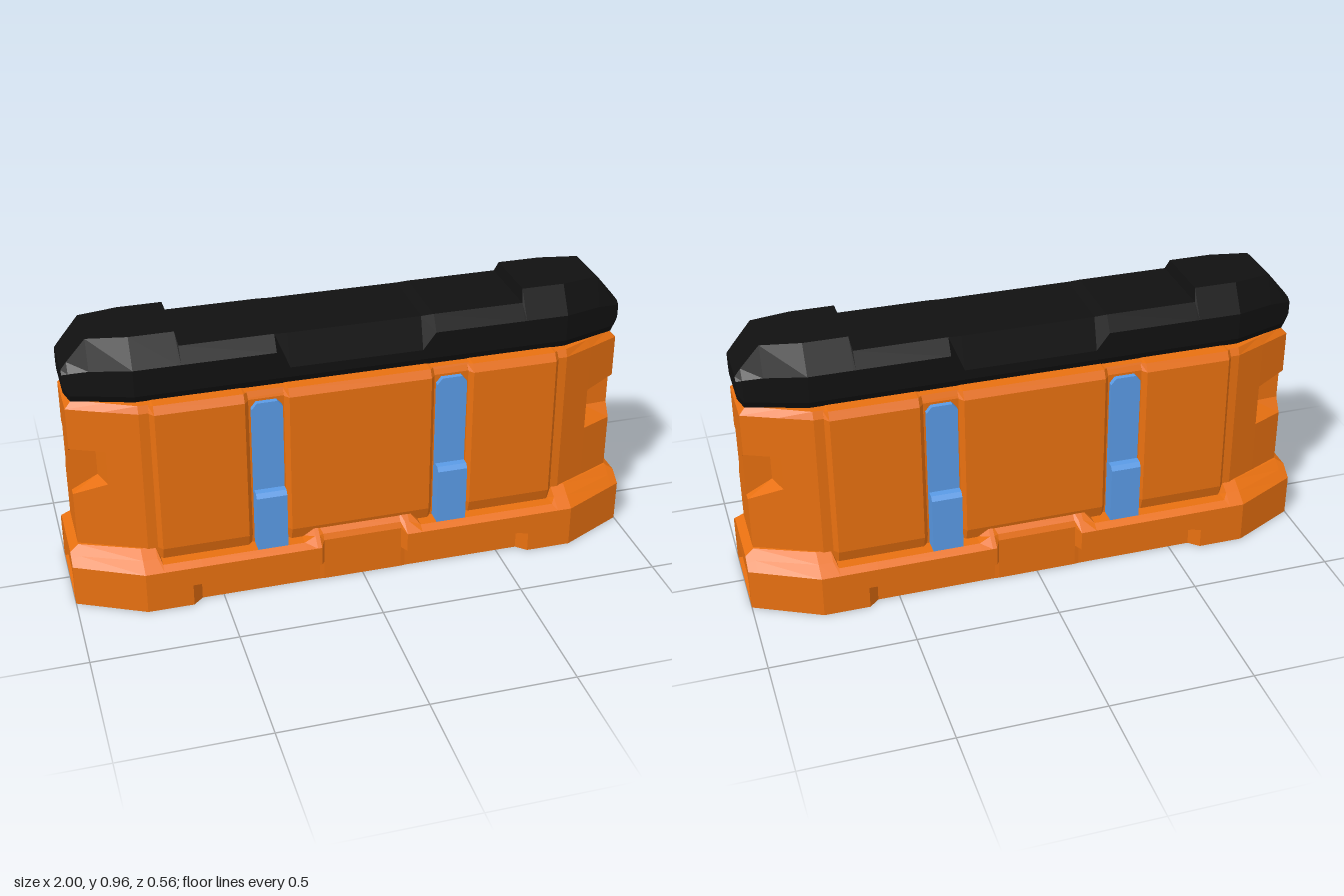
import * as THREE from 'three';

const material = (color) => new THREE.MeshStandardMaterial({ color, flatShading: true });

// Skin closed rings of [x, y, z] points and cap both ends with fans.
function loft(name, rings, mat) {
  const pos = [];
  const tri = (...pts) => pts.forEach((p) => pos.push(...p));
  const n = rings[0].length;
  const centre = (r) => [0, 1, 2].map((k) => r.reduce((s, p) => s + p[k], 0) / n);
  const first = rings[0], last = rings[rings.length - 1];
  const c0 = centre(first), c1 = centre(last);
  for (let j = 0; j < n; j++) {
    const k = (j + 1) % n;
    for (let i = 0; i < rings.length - 1; i++) {
      const a = rings[i][j], b = rings[i][k], c = rings[i + 1][j], d = rings[i + 1][k];
      tri(a, c, b);
      tri(b, c, d);
    }
    tri(c0, first[j], first[k]);
    tri(c1, last[k], last[j]);
  }
  const g = new THREE.BufferGeometry();
  g.setAttribute('position', new THREE.Float32BufferAttribute(pos, 3));
  g.computeVertexNormals();
  const mesh = new THREE.Mesh(g, mat);
  mesh.name = name;
  return mesh;
}

// Ring across x from a half profile of [z, y] points, mirrored in z.
const ringX = (x, half) => [
  ...half.map(([z, y]) => [x, y, z]),
  ...[...half].reverse().map(([z, y]) => [x, y, -z]),
];

// Stations listed from the +x end to the middle, mirrored to the -x end.
const mirroredRings = (stations) => [
  ...stations.map(([x, half]) => ringX(-x, half)),
  ...[...stations].reverse().map(([x, half]) => ringX(x, half)),
];

function makeBase(mat) {
  const section = (foot, side, inner, top) =>
    [[foot, 0], [foot, 0.07], [side, 0.08], [side, 0.15], inner, top];
  const high = [[0.235, 0.18], [0.195, 0.205]];
  const ledge = [[0.255, 0.166], [0.21, 0.166]];
  const endPocket = [[0.14, 0], [0.14, 0.05], [0.14, 0.09], [0.132, 0.105], [0.12, 0.115], [0.08, 0.115]];
  const endFace = section(0.165, 0.165, [0.142, 0.168], [0.12, 0.185]);
  const middle = [[0.25, 0], [0.25, 0.07], [0.25, 0.08], [0.25, 0.16], [0.24, 0.18], [0.21, 0.21]];
  return loft('base', mirroredRings([
    [0.975, endPocket],
    [1, endPocket],
    [1, endFace],
    [0.97, section(0.18, 0.18, [0.145, 0.178], [0.11, 0.205])],
    [0.77, section(0.28, 0.28, ...high)],
    [0.72, section(0.28, 0.28, ...high)],
    [0.705, section(0.28, 0.28, ...ledge)],
    [0.61, section(0.28, 0.28, ...ledge)],
    [0.575, section(0.248, 0.28, ...ledge)],
    [0.21, section(0.248, 0.28, ...ledge)],
    [0.17, section(0.248, 0.28, [0.245, 0.18], [0.21, 0.21])],
    [0.155, section(0.248, 0.28, [0.245, 0.18], [0.21, 0.21])],
    [0.14, middle],
  ]), mat);
}

// Core with tapered ends; the corner point is pulled inward for the hand pockets.
function makeBody(mat) {
  const ring = (y, pocket = false, inset = 0) => {
    const quarter = [
      [0.97 - inset, 0.07],
      pocket ? [0.88, 0.075] : [0.97 - inset, 0.1 - inset / 2],
      [0.855 - inset / 2, 0.152 - inset / 2],
      [0.745, 0.2 - inset / 2],
    ];
    const back = [...quarter].reverse();
    return [
      ...quarter.map(([x, z]) => [x, y, z]),
      ...back.map(([x, z]) => [-x, y, z]),
      ...quarter.map(([x, z]) => [-x, y, -z]),
      ...back.map(([x, z]) => [x, y, -z]),
    ];
  };
  return loft('body', [
    ring(0.1), ring(0.4), ring(0.45, true), ring(0.555, true),
    ring(0.575), ring(0.725), ring(0.75, false, 0.025),
  ], mat);
}

// Raised wall panel reaching through to both faces, with bevelled ends.
function makePanel(name, x0, x1, mat) {
  const half = (d) => [
    [0.2 - d, 0.16], [0.215 - d, 0.166], [0.228 - d, 0.21],
    [0.222 - d, 0.725], [0.205 - d, 0.752 - d / 4],
  ];
  return loft(name, [
    ringX(x0, half(0.018)), ringX(x0 + 0.015, half(0)),
    ringX(x1 - 0.015, half(0)), ringX(x1, half(0.018)),
  ], mat);
}

function makeLid(mat) {
  const half = (side, bottom, shoulder, topZ, topY) =>
    [[side - 0.012, bottom], [side, bottom + 0.025], [side, shoulder], [topZ, topY]];
  return loft('lid', mirroredRings([
    [0.97, half(0.1, 0.78, 0.85, 0.085, 0.862)],
    [0.95, half(0.108, 0.75, 0.855, 0.085, 0.888)],
    [0.885, half(0.128, 0.75, 0.865, 0.09, 0.965)],
    [0.75, half(0.172, 0.75, 0.87, 0.115, 0.965)],
    [0.6, half(0.172, 0.75, 0.87, 0.115, 0.965)],
    [0.592, half(0.172, 0.75, 0.87, 0.139, 0.924)],
    [0.275, half(0.172, 0.75, 0.87, 0.139, 0.924)],
    [0.23, half(0.172, 0.75, 0.81, 0.139, 0.922)],
  ]), mat);
}

// Clasp: a flat strap with clipped top corners and a thick lower block.
function makeClasp(mat) {
  const clasp = new THREE.Group();
  clasp.name = 'clasp';
  const outline = new THREE.Shape([
    [-0.053, 0.16], [0.053, 0.16], [0.053, 0.695], [0.035, 0.717], [-0.035, 0.717], [-0.053, 0.695],
  ].map(([x, y]) => new THREE.Vector2(x, y)));
  const strap = new THREE.Mesh(
    new THREE.ExtrudeGeometry(outline, { depth: 0.05, bevelEnabled: false }), mat);
  strap.name = 'strap';
  strap.position.z = 0.168;
  const side = new THREE.Shape([
    [0.2, 0.16], [0.255, 0.16], [0.255, 0.37], [0.243, 0.385], [0.2, 0.385],
  ].map(([z, y]) => new THREE.Vector2(-z, y)));
  const block = new THREE.Mesh(
    new THREE.ExtrudeGeometry(side, { depth: 0.106, bevelEnabled: false }), mat);
  block.name = 'latchBlock';
  block.rotation.y = Math.PI / 2;
  block.position.x = -0.053;
  clasp.add(strap, block);
  return clasp;
}

export function createModel() {
  const orange = material(0xe87010);
  const black = material(0x111111);
  const blue = material(0x5a9be6);
  const model = new THREE.Group();
  model.name = 'barrier';
  model.add(makeBase(orange), makeBody(orange), makeLid(black));
  model.add(
    makePanel('rightPanel', -0.712, -0.383, orange),
    makePanel('middlePanel', -0.262, 0.262, orange),
    makePanel('leftPanel', 0.383, 0.712, orange),
  );
  // Two clasps on each face
  for (const turn of [0, Math.PI]) {
    const face = new THREE.Group();
    face.name = turn ? 'backClasps' : 'frontClasps';
    face.rotation.y = turn;
    for (const x of [-0.322, 0.322]) {
      const clasp = makeClasp(blue);
      clasp.position.x = x;
      face.add(clasp);
    }
    model.add(face);
  }
  return model;
}
